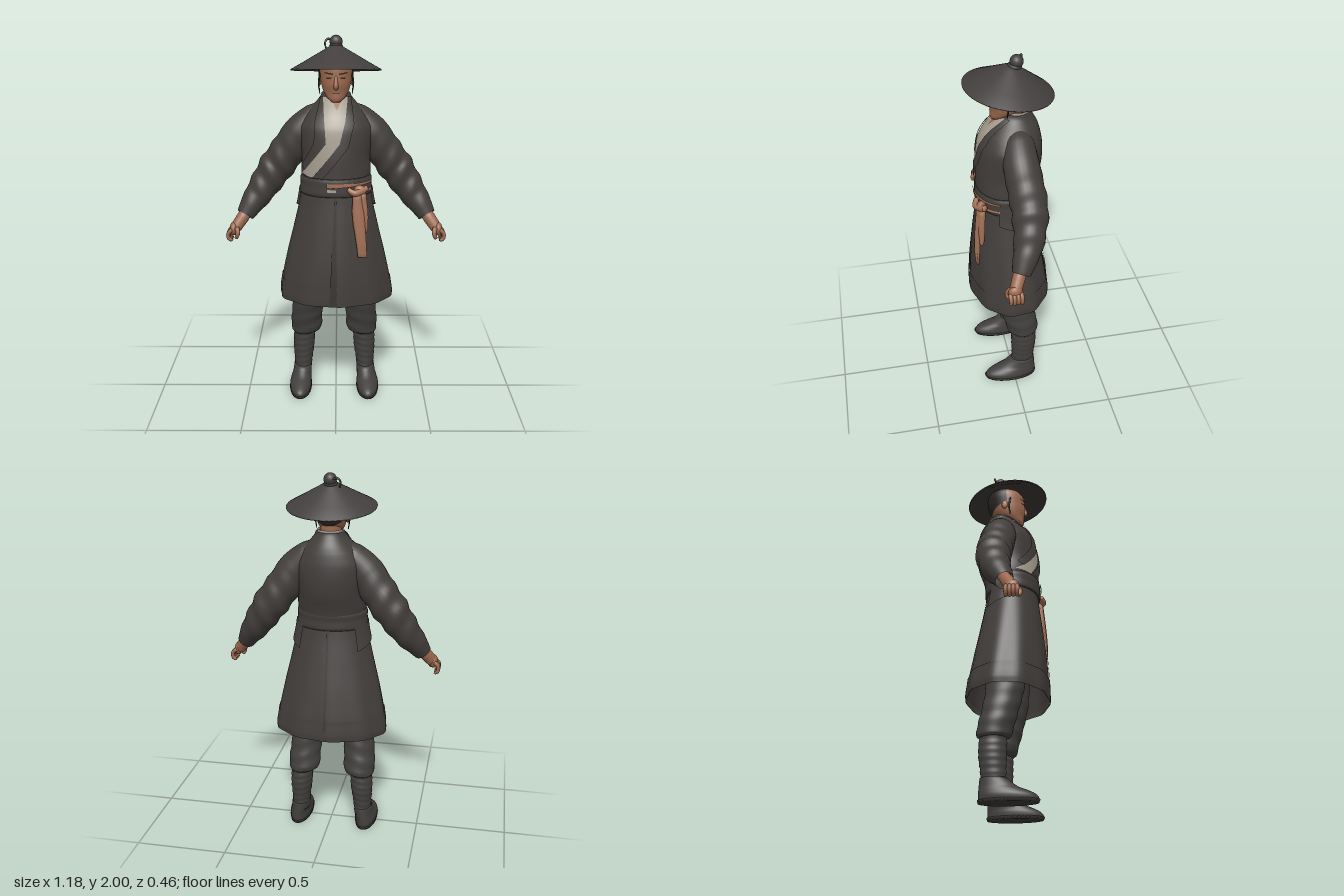
import * as THREE from 'three';

const mat = (name, color) => {
  const m = new THREE.MeshStandardMaterial({ color, side: THREE.DoubleSide });
  m.name = name;
  return m;
};

// Grid of rows x columns from a point function; wrap joins the last column to the first.
function grid(rows, cols, point, wrap) {
  const pos = [], idx = [], w = wrap ? cols : cols + 1;
  for (let i = 0; i <= rows; i++) for (let j = 0; j < w; j++) pos.push(...point(i, j));
  for (let i = 0; i < rows; i++) for (let j = 0; j < cols; j++) {
    const a = i * w + j, b = i * w + (j + 1) % w;
    idx.push(a, b, b + w, a, b + w, a + w);
  }
  const g = new THREE.BufferGeometry();
  g.setAttribute('position', new THREE.Float32BufferAttribute(pos, 3));
  g.setIndex(idx);
  g.computeVertexNormals();
  return g;
}

// Smooth elliptical section at height y; sections are [y, rx, rz, cz, cx], rising in y.
function sectionAt(secs, y) {
  let i = 0;
  while (i < secs.length - 2 && y > secs[i + 1][0]) i++;
  const t = THREE.MathUtils.clamp((y - secs[i][0]) / (secs[i + 1][0] - secs[i][0]), 0, 1);
  const S = k => secs[THREE.MathUtils.clamp(k, 0, secs.length - 1)];
  return [1, 2, 3, 4].map(c => {
    const [a, b, d, e] = [S(i - 1), S(i), S(i + 1), S(i + 2)].map(s => s[c] ?? 0);
    return b + 0.5 * t * (d - a + t * (2 * a - 5 * b + 4 * d - e + t * (3 * (b - d) + e - a)));
  });
}

// Stacked elliptical sections; caps close the ends, ripple(a, y) scales the outline.
function loft(secs, { caps = true, step = 4, n = 40, ripple = () => 1 } = {}) {
  const ys = [];
  secs.forEach((s, i) => {
    if (i) for (let k = 1; k <= step; k++) ys.push(secs[i - 1][0] + (s[0] - secs[i - 1][0]) * k / step);
    else ys.push(s[0]);
  });
  const rows = ys.map(y => [y, 1]);
  if (caps) { rows.unshift([ys[0], 0]); rows.push([ys[ys.length - 1], 0]); }
  return grid(rows.length - 1, n, (i, j) => {
    const [y, k] = rows[i], [rx, rz, cz, cx] = sectionAt(secs, y);
    const a = j / n * Math.PI * 2, f = k * ripple(a, y);
    return [cx + rx * f * Math.sin(a), y, cz + rz * f * Math.cos(a)];
  }, true);
}

// Cloth strip between two (x, y) edge paths, lying just off a lofted surface.
function drape(secs, left, right, off, side = 1) {
  const per = 8, rows = (left.length - 1) * per, cols = 8;
  return grid(rows, cols, (i, j) => {
    const k = Math.min(Math.floor(i / per), left.length - 2), t = i / per - k, u = j / cols;
    const mix = c => {
      const l = left[k][c] + (left[k + 1][c] - left[k][c]) * t;
      const r = right[k][c] + (right[k + 1][c] - right[k][c]) * t;
      return l + (r - l) * u;
    };
    const x = mix(0), y = mix(1), [rx, rz, cz, cx] = sectionAt(secs, y);
    const s = THREE.MathUtils.clamp((x - cx) / (rx + off), -1, 1);
    return [cx + s * (rx + off), y, cz + side * (rz + off) * Math.sqrt(1 - s * s)];
  });
}

// Surface patch between two angles (0 = front) and two heights.
function wrapPatch(secs, a0, a1, low, high, off) {
  return grid(8, 20, (i, j) => {
    const u = j / 20, a = a0 + (a1 - a0) * u, y = low(u) + (high - low(u)) * i / 8;
    const [rx, rz, cz, cx] = sectionAt(secs, y);
    return [cx + (rx + off) * Math.sin(a), y, cz + (rz + off) * Math.cos(a)];
  });
}

// Round limb through [x, y, z, radius] points, with optional cloth folds.
function limb(pts, { n = 20, rows = 30, fold = 0, caps = false } = {}) {
  const curve = new THREE.CatmullRomCurve3(pts.map(p => new THREE.Vector3(p[0], p[1], p[2])));
  const fr = curve.computeFrenetFrames(rows);
  return grid(rows, n, (i, j) => {
    const u = i / rows, t = curve.getUtoTmapping(u) * (pts.length - 1);
    const k = Math.min(Math.floor(t), pts.length - 2), a = j / n * Math.PI * 2;
    let r = pts[k][3] + (pts[k + 1][3] - pts[k][3]) * (t - k);
    r *= 1 + fold * Math.sin(u * 42 + 2.5 * Math.sin(a)) * Math.max(0, Math.sin((u - .25) * Math.PI / .75));
    if (caps && (i === 0 || i === rows)) r = 0;
    const p = curve.getPointAt(u);
    p.addScaledVector(fr.normals[i], r * Math.cos(a)).addScaledVector(fr.binormals[i], r * Math.sin(a));
    return [p.x, p.y, p.z];
  }, true);
}

function mirrored(geo) {
  const g = geo.clone().scale(-1, 1, 1), ix = g.index.array;
  for (let i = 0; i < ix.length; i += 3) [ix[i], ix[i + 1]] = [ix[i + 1], ix[i]];
  g.computeVertexNormals();
  return g;
}

const ball = (r, x, y, z, sx = 1, sy = 1, sz = 1) =>
  new THREE.SphereGeometry(r, 20, 14).scale(sx, sy, sz).translate(x, y, z);

export function createModel() {
  const root = new THREE.Group();
  const robe = mat('charcoal robe', 0x423e3c), trim = mat('dark trim', 0x383432);
  const pants = mat('grey trousers', 0x423f3e), hatMat = mat('hat grey', 0x433f3e);
  const skin = mat('skin', 0x9c694e), sash = mat('rust sash', 0xa27056);
  const linen = mat('pale linen', 0xa59d8f), hair = mat('black hair', 0x2a2523);
  const add = (name, geo, m, parent = root) => {
    const mesh = new THREE.Mesh(geo, m);
    mesh.name = name;
    parent.add(mesh);
  };
  const both = (name, geo, m, parent = root) => {
    add(name + 'Left', geo, m, parent);
    add(name + 'Right', mirrored(geo), m, parent);
  };

  // Robe body
  const torso = [[1.24, .178, .15, .025], [1.3, .186, .155, .018], [1.38, .183, .168, .004], [1.46, .194, .17, -.005],
    [1.54, .198, .162, -.01], [1.6, .162, .143, -.018], [1.64, .124, .12, -.027], [1.68, .088, .09, -.035], [1.705, .076, .074, -.04]];
  add('torso', loft(torso, { n: 48 }), robe);
  const skirt = [[.585, .306, .217, 0], [.62, .308, .218, 0], [.8, .276, .2, .01], [1, .228, .17, .02], [1.21, .184, .14, .027]];
  const ripple = (a, y) => 1 + .018 * Math.max(0, (1.15 - y) / .6) * Math.sin(a * 10 + .6);
  add('skirt', loft(skirt, { caps: false, n: 80, ripple }), robe);
  add('hemBand', loft(skirt.slice(0, 2).concat([[.7, .297, .213, .004]]).map(s => [s[0], s[1] + .004, s[2] + .004, s[3]]),
    { caps: false, n: 80, ripple }), robe);
  add('frontSlit', drape(skirt, [[-.008, 1.19], [-.035, .59]], [[.002, 1.19], [.006, .59]], .007), trim);
  add('backSlit', drape(skirt, [[-.005, 1.19], [-.008, .59]], [[.004, 1.19], [.008, .59]], .007, -1), trim);
  both('hipFlap', wrapPatch(skirt, 1.2, 2.35, u => 1.13 - .06 * u, 1.21, .013), robe);

  // Crossed collar
  add('undershirt', drape(torso, [[-.075, 1.69], [-.062, 1.58], [-.052, 1.47], [-.184, 1.295]],
    [[.068, 1.69], [.05, 1.58], [.022, 1.47], [-.125, 1.285]], .004), linen);
  add('throat', drape(torso, [[-.028, 1.695], [.002, 1.635]], [[.035, 1.695], [.006, 1.635]], .007), skin);
  add('leftLapel', drape(torso, [[.062, 1.695], [.048, 1.58], [.02, 1.47], [-.125, 1.285]],
    [[.08, 1.69], [.095, 1.57], [.065, 1.45], [-.07, 1.285]], .01), robe);
  add('rightLapel', drape(torso, [[-.082, 1.69], [-.11, 1.58], [-.115, 1.47], [-.182, 1.34]],
    [[-.068, 1.695], [-.06, 1.58], [-.052, 1.47], [-.165, 1.32]], .009), robe);
  add('innerCollar', loft([[1.64, .07, .07, -.035], [1.69, .068, .068, -.04], [1.718, .066, .064, -.045]], { caps: false }), linen);

  // Belt and sash
  const belt = [[1.185, .19, .149, .027], [1.2, .194, .153, .027], [1.235, .19, .152, .027], [1.265, .191, .154, .025], [1.283, .184, .15, .025]];
  add('belt', loft(belt), robe);
  add('sashBand', wrapPatch(belt, -.25, 1.25, u => 1.238 + .012 * u, 1.262, .007), sash);
  add('lowerSashBand', wrapPatch(belt, .5, 1.25, u => 1.2 + .008 * u, 1.222, .007), sash);
  add('beltClasp', drape(belt, [[-.045, 1.216], [.0, 1.216]], [[-.045, 1.23], [.0, 1.23]], .006), linen);
  add('sashKnot', ball(.03, .125, 1.222, .165, 1.1, 1, .8), sash);
  add('sashLoop', limb([[.06, 1.235, .18, .012], [.1, 1.215, .19, .018], [.165, 1.235, .15, .016]], { caps: true }), sash);
  add('longTail', loft([[.865, .024, .01, .195, .14], [.95, .027, .015, .195, .133], [1.08, .031, .018, .184, .118], [1.21, .024, .018, .172, .112]],
    { n: 20, ripple: a => 1 + .08 * Math.sin(a * 6) }), sash);
  add('shortTail', loft([[1, .012, .012, .172, .157], [1.1, .02, .018, .17, .15], [1.21, .02, .018, .165, .138]], { n: 16 }), sash);

  // Sleeves and hands
  both('sleeve', limb([[.05, 1.61, -.035, .055], [.11, 1.57, -.032, .08], [.185, 1.5, -.03, .092], [.25, 1.405, -.04, .095],
    [.328, 1.295, -.047, .094], [.415, 1.165, -.022, .076], [.465, 1.095, .01, .06], [.493, 1.05, .03, .048]],
  { n: 28, rows: 70, fold: .05 }), robe);
  both('wrist', limb([[.465, 1.1, .015, .03], [.505, 1.04, .045, .034], [.54, .99, .068, .031], [.55, .965, .075, .02]], { caps: true }), skin);
  both('palm', ball(.035, .552, .985, .073, .65, 1.05, 1.05), skin);
  for (let f = 0; f < 4; f++) {
    const z = .042 + f * .019;
    both('finger' + f, limb([[.555, .99, z, .011], [.58, .965, z, .011], [.577, .935, z, .01], [.557, .925, z, .009]],
      { n: 10, rows: 12, caps: true }), skin);
  }
  both('thumb', limb([[.535, 1, .09, .013], [.528, .968, .11, .012], [.54, .935, .105, .009]], { n: 10, rows: 12, caps: true }), skin);

  // Trousers, wrapped shins and shoes
  const legs = new THREE.Group();
  legs.name = 'legs';
  legs.position.x = -.011;
  root.add(legs);
  both('trouser', loft([[.33, .064, .07, -.057, .17], [.345, .082, .086, -.055, .16], [.38, .087, .092, -.05, .157],
    [.46, .086, .094, -.03, .153], [.6, .086, .1, -.003, .136], [.8, .1, .11, 0, .115], [.95, .1, .1, .01, .1]],
  { step: 8, ripple: (a, y) => 1 + .02 * Math.sin(y * 75 + 2 * Math.sin(a)) }), pants, legs);
  both('shinWrap', loft([[.08, .047, .064, -.053, .181], [.15, .051, .064, -.055, .178], [.25, .06, .071, -.06, .174], [.345, .06, .07, -.057, .17]],
    { step: 10, ripple: (a, y) => 1 + .025 * Math.sin(y * 170 + 1.5 * Math.sin(a)) }), pants, legs);
  both('shoe', loft([[.012, .06, .148, .022, .192], [.035, .062, .144, .018, .192], [.055, .058, .128, .002, .19],
    [.08, .053, .097, -.028, .185], [.125, .05, .07, -.052, .181]]), pants, legs);
  both('sole', loft([[0, .061, .148, .02, .192], [.016, .064, .153, .022, .192]], { step: 1 }), trim, legs);

  // Head and face
  const head = [[1.672, .025, .025, .062], [1.69, .046, .05, .042], [1.72, .066, .078, .014], [1.76, .078, .1, 0],
    [1.8, .084, .104, -.006], [1.85, .087, .105, -.01], [1.885, .075, .085, -.012], [1.9, .045, .05, -.014]];
  add('neck', loft([[1.6, .062, .062, -.03], [1.67, .054, .056, -.025], [1.75, .055, .058, -.025]]), skin);
  add('head', loft(head), skin);
  add('hairCap', wrapPatch(head, 1.5, Math.PI * 2 - 1.5, u => 1.8 - .06 * Math.sin(u * Math.PI), 1.9, .006), hair);
  add('nose', limb([[0, 1.81, .088, .008], [0, 1.775, .099, .01], [0, 1.752, .102, .013], [0, 1.744, .09, .011]],
    { n: 12, rows: 12, caps: true }), skin);
  add('mouth', drape(head, [[-.02, 1.719], [.02, 1.719]], [[-.02, 1.722], [.02, 1.722]], .003), hair);
  both('ear', ball(.022, .085, 1.772, -.012, .4, 1.2, .8), skin);
  both('eye', drape(head, [[.022, 1.793], [.05, 1.793]], [[.022, 1.801], [.05, 1.8]], .003), hair);
  both('brow', drape(head, [[.016, 1.814], [.058, 1.82]], [[.016, 1.822], [.058, 1.826]], .004), hair);
  add('chinBeard', ball(.015, 0, 1.686, .08, .9, .9, .55), hair);
  both('hairStrand', limb([[.082, 1.82, .02, .005], [.09, 1.76, .015, .005], [.084, 1.705, .02, .002]], { n: 8, rows: 10 }), hair);

  // Wide conical hat, tipped back
  const hat = new THREE.Group();
  hat.name = 'hat';
  hat.position.set(0, 1.83, -.002);
  hat.rotation.x = -.15;
  root.add(hat);
  const profile = pts => new THREE.LatheGeometry(pts.map(p => new THREE.Vector2(...p)), 48).scale(1, 1, .975);
  add('hatCone', profile([[.235, -.006], [.237, 0], [.17, .038], [.1, .079], [.05, .108], [.03, .12], [0, .124]]), hatMat, hat);
  add('hatLining', profile([[.235, -.006], [.17, .028], [.1, .068], [0, .105]]), trim, hat);
  add('knobCollar', new THREE.TorusGeometry(.027, .009, 8, 24).rotateX(Math.PI / 2).translate(0, .12, -.014), hatMat, hat);
  add('knob', ball(.034, 0, .143, -.02), hatMat, hat);
  add('knobCord', limb([[-.015, .15, -.045, .005], [-.045, .158, -.05, .006], [-.058, .135, -.045, .005], [-.05, .105, -.04, .004]],
    { n: 8, rows: 14, caps: true }), hatMat, hat);
  return root;
}
